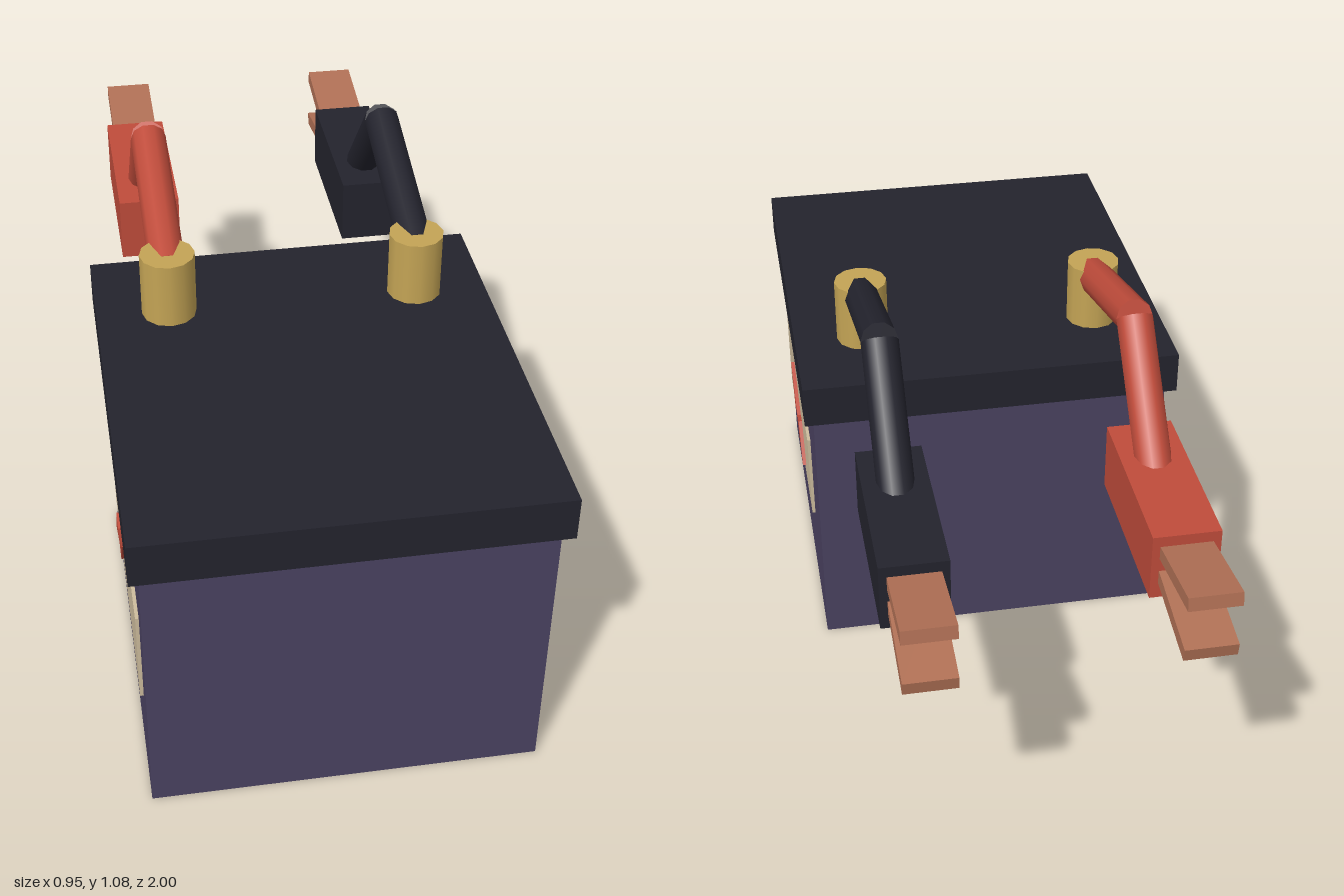
import * as THREE from 'three';

const mat = (name, color) => {
  const m = new THREE.MeshStandardMaterial({ color });
  m.name = name;
  return m;
};

export function createModel() {
  const purple = mat('purple casing', 0x4a4261);
  const black = mat('black plastic', 0x23232d);
  const gold = mat('brass', 0xc4a455);
  const red = mat('red plastic', 0xc04c3b);
  const cream = mat('cream label', 0xcdbc9d);
  const copper = mat('copper', 0xb07055);

  const model = new THREE.Group();
  model.name = 'battery';

  const add = (parent, name, geometry, material, x = 0, y = 0, z = 0) => {
    const mesh = new THREE.Mesh(geometry, material);
    mesh.name = name;
    mesh.position.set(x, y, z);
    parent.add(mesh);
    return mesh;
  };

  // straight cable piece between two points in the y-z plane, given as [y, z]
  const cable = (parent, name, a, b, material) => {
    const start = new THREE.Vector3(0, ...a), end = new THREE.Vector3(0, ...b);
    const dir = end.clone().sub(start);
    const geo = new THREE.CylinderGeometry(0.044, 0.044, dir.length(), 10, 1, false, Math.PI / 10);
    const mesh = add(parent, name, geo, material);
    mesh.position.copy(start).add(end).multiplyScalar(0.5);
    mesh.quaternion.setFromUnitVectors(new THREE.Vector3(0, 1, 0), dir.normalize());
  };

  // casing and lid
  add(model, 'casing', new THREE.BoxGeometry(0.904, 0.692, 1), purple, 0, 0.346, 0.474);
  add(model, 'lid', new THREE.BoxGeometry(0.95, 0.106, 1.056), black, 0, 0.744, 0.472);

  // lightning bolt outline as [z, y]; shape x runs along -z
  const bolt = new THREE.Shape([
    [0.623, 0.46], [0.552, 0.359], [0.505, 0.37], [0.35, 0.289], [0.42, 0.39], [0.467, 0.38],
  ].map(([z, y]) => new THREE.Vector2(-z, y)));

  for (const side of [-1, 1]) {
    const name = side > 0 ? 'left' : 'right';
    const wire = side > 0 ? black : red;

    // side label with raised bolt
    add(model, name + 'Label', new THREE.BoxGeometry(0.009, 0.24, 0.69), cream, side * 0.4555, 0.36, 0.535);
    const boltGeo = new THREE.ExtrudeGeometry(bolt, { depth: 0.0095, bevelEnabled: false });
    boltGeo.rotateY(Math.PI / 2);
    add(model, name + 'Bolt', boltGeo, red, side > 0 ? 0.46 : -0.4695);

    // terminal post
    add(model, name + 'Terminal', new THREE.CylinderGeometry(0.066, 0.066, 0.164, 12), gold, side * 0.3, 0.878, 0.175);

    // bent cable, clamp and two jaws
    const lead = new THREE.Group();
    lead.name = name + 'Lead';
    lead.position.x = side * 0.3;
    model.add(lead);
    cable(lead, 'upperCable', [0.92, 0.175], [1.038, -0.25], wire);
    cable(lead, 'lowerCable', [1.038, -0.25], [0.76, -0.502], wire);
    add(lead, 'clamp', new THREE.BoxGeometry(0.156, 0.167, 0.436), wire, 0, 0.714, -0.558);
    for (const s of [-1, 1]) {
      const jaw = add(lead, s > 0 ? 'upperJaw' : 'lowerJaw',
        new THREE.BoxGeometry(0.12, 0.033, 0.28), copper, 0, 0.721 + s * 0.047, -0.86);
      jaw.rotation.x = s * 0.16;
    }
  }
  return model;
}
